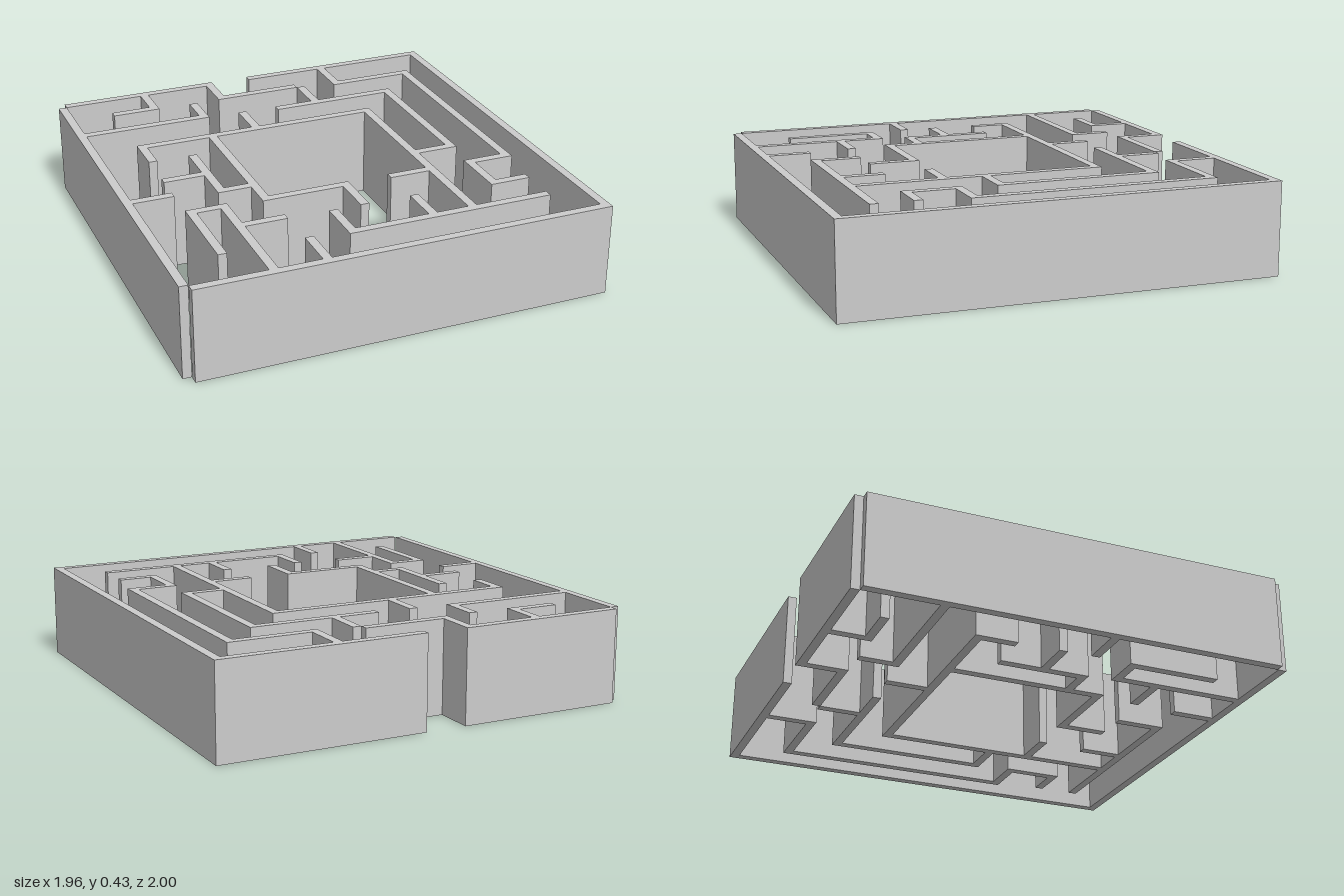
import * as THREE from 'three';

const HEIGHT = 0.43, T = 0.04;

// alongX entries: [z centre, x start, x end]; alongZ entries: [x centre, z start, z end]
const sections = {
  outerWall: {
    alongX: [[-0.98, -0.94, -0.17], [-0.98, 0.02, 0.98], [0.98, -0.94, 0.98]],
    alongZ: [[-0.96, -0.96, 0.955], [0.96, -0.96, 0.96]],
  },
  backWalls: {
    alongX: [[-0.79, -0.75, -0.56], [-0.79, -0.17, 0.21], [-0.6, -0.94, -0.325]],
    alongZ: [[-0.54, -0.96, -0.77], [-0.19, -0.96, -0.77], [-0.345, -0.77, -0.62], [-0.155, -0.58, -0.39]],
  },
  leftWalls: {
    alongX: [[-0.56, 0.02, 0.635], [0.165, 0.44, 0.595], [-0.75, 0.44, 0.825], [0.355, 0.595, 0.785], [0.59, 0.635, 0.785]],
    alongZ: [[0.23, -0.77, -0.58], [0.615, -0.54, 0.185], [0.42, -0.96, -0.73], [0.805, -0.73, 0.375], [0.615, 0.375, 0.61]],
  },
  courtyardWalls: {
    alongX: [[-0.37, -0.75, 0.44], [0.355, -0.365, 0.015], [0.355, 0.21, 0.4]],
    alongZ: [[-0.73, -0.35, -0.195], [-0.385, -0.35, 0.375], [-0.005, 0.375, 0.57], [0.42, -0.35, 0.76]],
  },
  rightWalls: {
    alongX: [[0.015, -0.75, -0.56], [0.205, -0.52, -0.405], [0.165, -0.94, -0.75]],
    alongZ: [[-0.54, -0.195, 0.225]],
  },
  frontWalls: {
    alongX: [[0.355, -0.75, -0.56], [0.55, -0.56, -0.365], [0.78, -0.175, 0.785]],
    alongZ: [[-0.73, 0.375, 0.765], [-0.58, 0.375, 0.96], [-0.345, 0.76, 0.96], [-0.155, 0.57, 0.76], [0.23, 0.57, 0.76]],
  },
};

export function createModel() {
  const model = new THREE.Group();
  model.name = 'maze';
  const material = new THREE.MeshStandardMaterial({ color: 0xcccccc, flatShading: true });

  for (const [name, { alongX, alongZ }] of Object.entries(sections)) {
    const group = new THREE.Group();
    group.name = name;
    const addWall = (x, z, width, depth) => {
      const wall = new THREE.Mesh(new THREE.BoxGeometry(width, HEIGHT, depth), material);
      wall.name = 'wall';
      wall.position.set(x, HEIGHT / 2, z);
      group.add(wall);
    };
    // Walls butt against each other so their tops never overlap
    for (const [z, a, b] of alongX) addWall((a + b) / 2, z, b - a, T);
    for (const [x, a, b] of alongZ) addWall(x, (a + b) / 2, T, b - a);
    model.add(group);
  }
  return model;
}
